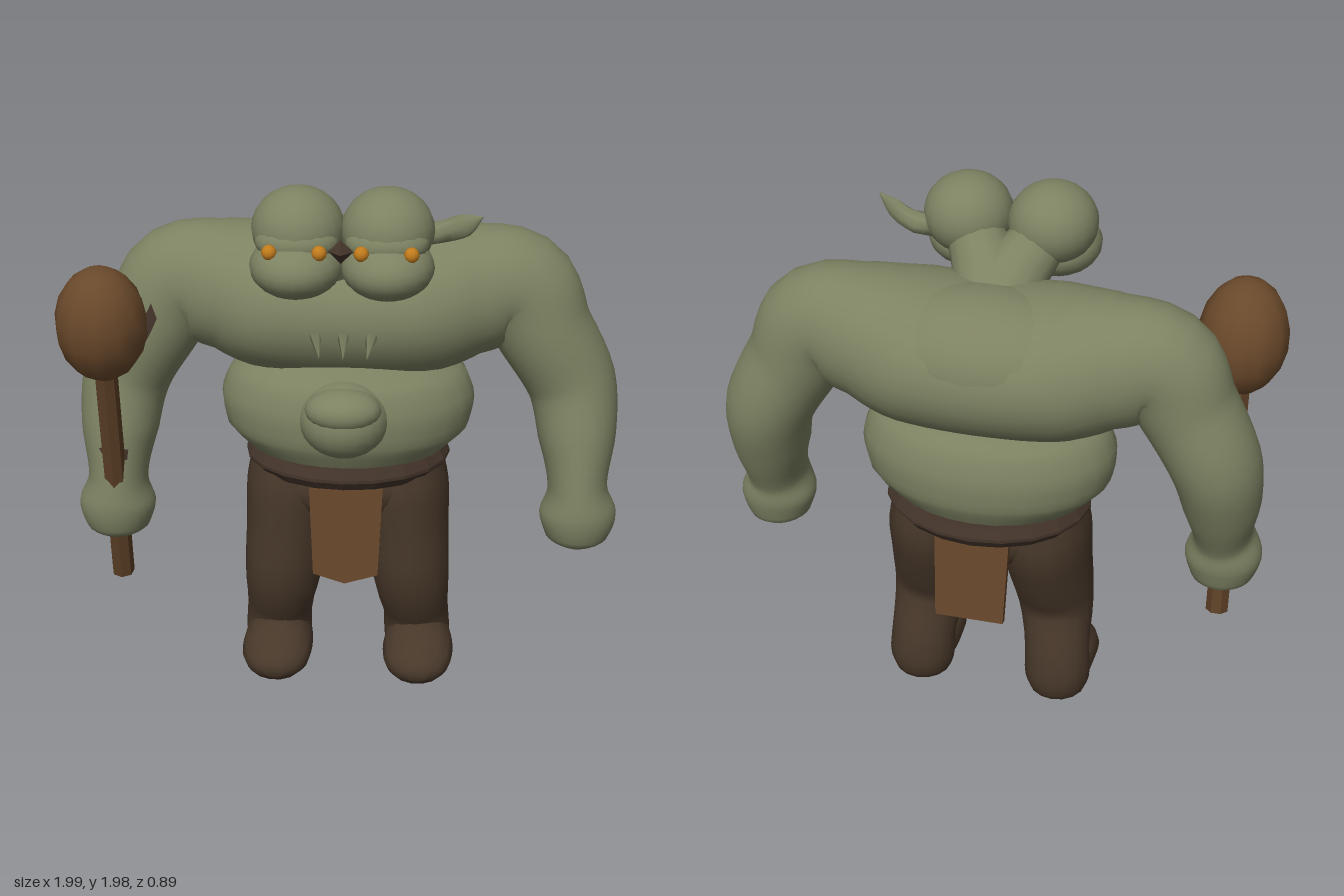
import * as THREE from 'three';

const mat = (name, color, opts = {}) => {
  const m = new THREE.MeshStandardMaterial({ color, ...opts });
  m.name = name;
  return m;
};

// Smooth closed skin through stations [x, y, z, radiusU, radiusV]; u follows ref
function loft(stations, ref, sides = 18, steps = 3) {
  const path = new THREE.CatmullRomCurve3(stations.map(s => new THREE.Vector3(s[0], s[1], s[2])));
  const radii = new THREE.CatmullRomCurve3(stations.map(s => new THREE.Vector3(s[3], s[4], 0)));
  const n = (stations.length - 1) * steps;
  const pos = [], index = [];
  const up = new THREE.Vector3(...ref);
  for (let i = 0; i <= n; i++) {
    const p = path.getPoint(i / n), r = radii.getPoint(i / n);
    const t = path.getTangent(i / n);
    const u = up.clone().addScaledVector(t, -up.dot(t)).normalize();
    const v = t.clone().cross(u);
    for (let j = 0; j < sides; j++) {
      const a = j / sides * Math.PI * 2;
      const q = p.clone().addScaledVector(u, Math.max(r.x, 0.002) * Math.cos(a))
        .addScaledVector(v, Math.max(r.y, 0.002) * Math.sin(a));
      pos.push(q.x, q.y, q.z);
      if (i < n) {
        const A = i * sides + j, B = i * sides + (j + 1) % sides;
        index.push(A, B, A + sides, B, B + sides, A + sides);
      }
    }
  }
  // End caps
  const c0 = pos.length / 3, last = n * sides;
  const first = stations[0], end = stations[stations.length - 1];
  pos.push(first[0], first[1], first[2], end[0], end[1], end[2]);
  for (let j = 0; j < sides; j++) {
    const k = (j + 1) % sides;
    index.push(c0, k, j, c0 + 1, last + j, last + k);
  }
  const g = new THREE.BufferGeometry();
  g.setAttribute('position', new THREE.Float32BufferAttribute(pos, 3));
  g.setIndex(index);
  g.computeVertexNormals();
  return g;
}

// Second material group for faces near any of the spots [x, y, z, radius]
function paintSpots(g, spots) {
  const index = g.index.array, plain = [], painted = [];
  const c = new THREE.Vector3(), v = new THREE.Vector3();
  for (let i = 0; i < index.length; i += 3) {
    c.set(0, 0, 0);
    for (let k = 0; k < 3; k++) c.add(v.fromBufferAttribute(g.attributes.position, index[i + k]));
    c.divideScalar(3);
    const hit = spots.some(([x, y, z, r]) => c.distanceTo(v.set(x, y, z)) < r);
    (hit ? painted : plain).push(index[i], index[i + 1], index[i + 2]);
  }
  g.setIndex([...plain, ...painted]);
  g.addGroup(0, plain.length, 0);
  g.addGroup(plain.length, painted.length, 1);
  return g;
}

const flipX = (list, s) => list.map(([x, ...rest]) => [x * s, ...rest]);

export function createModel() {
  const root = new THREE.Group();
  const skin = mat('skin', 0x7d8262);
  const trousers = mat('trousers', 0x48382a);
  const leather = mat('belt leather', 0x43342a, { side: THREE.DoubleSide });
  const cloth = mat('loincloth', 0x65452a);
  const wood = mat('club wood', 0x6a492b);
  const shaftWood = mat('club shaft wood', 0x5c4026, { flatShading: true });
  const amber = mat('amber eye', 0xc27c1c);

  const add = (name, geo, material, p = [0, 0, 0], parent = root) => {
    const m = new THREE.Mesh(geo, material);
    m.name = name;
    m.position.set(...p);
    parent.add(m);
    return m;
  };
  const ball = (name, p, r, material = skin, w = 20, h = 14) =>
    add(name, new THREE.SphereGeometry(1, w, h).scale(...r), material, p);

  // Chest and both arms as one skin running from hand to hand
  const half = [
    [0.26, 1.485, -0.115, 0.312, 0.264],
    [0.45, 1.52, -0.12, 0.24, 0.236],
    [0.61, 1.525, -0.12, 0.185, 0.205],
    [0.705, 1.37, -0.115, 0.18, 0.175],
    [0.81, 1.17, -0.12, 0.177, 0.162],
    [0.838, 0.98, -0.065, 0.168, 0.142],
    [0.845, 0.8, -0.01, 0.145, 0.108],
    [0.85, 0.7, 0, 0.146, 0.14],
    [0.85, 0.61, 0, 0.123, 0.115],
    [0.85, 0.56, 0, 0.04, 0.04],
  ];
  const upper = loft([
    ...flipX(half, -1).reverse(), [0, 1.475, -0.12, 0.325, 0.265], ...half,
  ], [0, 0, 1], 28, 5);
  add('chestAndArms', paintSpots(upper, [[-0.75, 1.43, 0.06, 0.075], [-0.835, 0.93, 0.1, 0.045]]),
    [skin, leather]);
  ball('upperBack', [0, 1.515, -0.17], [0.45, 0.238, 0.268], skin, 28, 16);

  // Belly roll and the bulge on its front
  add('belly', loft([
    [0, 0.88, -0.1, 0.31, 0.24],
    [0, 0.94, -0.1, 0.375, 0.275],
    [0, 1.01, -0.1, 0.443, 0.308],
    [0, 1.11, -0.1, 0.461, 0.315],
    [0, 1.21, -0.1, 0.43, 0.289],
    [0, 1.27, -0.1, 0.355, 0.245],
    [0, 1.35, -0.1, 0.25, 0.19],
  ], [1, 0, 0], 28), skin);
  ball('bellyBulge', [0, 1.12, 0.16], [0.16, 0.14, 0.15]);
  ball('bellyFold', [0, 1.18, 0.22], [0.135, 0.075, 0.098]);

  // Three small chest spikes pointing down
  for (const x of [-0.09, 0, 0.09]) {
    const spike = add('chestSpike', new THREE.ConeGeometry(0.024, 0.09, 5), skin, [x, 1.415, 0.217]);
    spike.rotation.set(Math.PI - 0.5, 0, x * 2);
  }

  // Two necks and two heads
  for (const s of [1, -1]) {
    add('neck', loft(flipX([
      [0, 1.57, -0.07, 0.18, 0.16],
      [0.03, 1.68, 0.025, 0.135, 0.125],
      [0.08, 1.75, 0.105, 0.112, 0.11],
      [0.14, 1.81, 0.2, 0.1, 0.1],
    ], s), [1, 0, 0], 14), skin);
    ball('cranium', [0.152 * s, 1.845, 0.21], [0.159, 0.145, 0.162]);
    ball('muzzle', [0.155 * s, 1.735, 0.275], [0.158, 0.108, 0.17]);
    ball('brow', [0.152 * s, 1.822, 0.28], [0.142, 0.075, 0.1]);
    for (const x of [0.07, 0.237])
      ball('eye', [x * s, 1.813, 0.374], [0.026, 0.026, 0.026], amber, 10, 8);
  }
  add('gapPatch', new THREE.OctahedronGeometry(0.042), leather, [0, 1.808, 0.34]);

  // Single pointed ear on the left head
  add('ear', loft([
    [0.26, 1.805, 0.145, 0.04, 0.03],
    [0.35, 1.823, 0.145, 0.04, 0.03],
    [0.41, 1.85, 0.165, 0.04, 0.02],
    [0.47, 1.888, 0.19, 0.003, 0.003],
  ], [0, 1, 0], 8), skin);

  // Trousers: hips, legs and feet
  ball('hips', [0, 0.8, -0.09], [0.35, 0.18, 0.235], trousers);
  for (const s of [1, -1]) {
    const footX = s > 0 ? 0.272 : 0.26;
    add('leg', loft(flipX([
      [0.19, 0.88, -0.1, 0.16, 0.205],
      [0.204, 0.76, -0.092, 0.171, 0.215],
      [0.22, 0.6, -0.067, 0.158, 0.186],
      [0.241, 0.4, -0.035, 0.142, 0.14],
      [0.26, 0.22, -0.097, 0.123, 0.119],
      [0.265, 0.12, -0.107, 0.125, 0.121],
      [0.265, 0.045, -0.103, 0.108, 0.103],
      [0.265, 0.016, -0.1, 0.055, 0.055],
    ], s), [1, 0, 0], 16), trousers);
    add('foot', loft(flipX([
      [footX, 0.11, -0.2, 0.06, 0.05],
      [footX, 0.11, -0.12, 0.12, 0.099],
      [footX, 0.115, 0, 0.132, 0.11],
      [footX, 0.102, 0.1, 0.125, 0.084],
      [footX, 0.097, 0.165, 0.092, 0.06],
      [footX, 0.095, 0.2, 0.035, 0.025],
    ], s), [1, 0, 0], 14), trousers);
  }

  // Belt with a ridged edge
  const rim = [[0.86, 0.838], [0.92, 0.845], [1, 0.88], [1, 0.892], [0.945, 0.928], [0.85, 0.928]]
    .map(([x, y]) => new THREE.Vector2(x, y));
  const belt = new THREE.LatheGeometry(rim, 20).toNonIndexed();
  belt.scale(0.375, 1, 0.306);
  belt.computeVertexNormals();
  add('belt', belt, leather, [0, 0, -0.105]);

  // Front and back loincloth flaps hanging from the belt
  const flap = (name, outline, p, tilt) => {
    const shape = new THREE.Shape(outline.map(([x, y]) => new THREE.Vector2(x, y)));
    const g = new THREE.ExtrudeGeometry(shape, { depth: 0.028, bevelEnabled: false });
    g.translate(0, 0, -0.014);
    add(name, g, cloth, p).rotation.x = tilt;
  };
  flap('frontFlap', [[-0.125, 0], [-0.11, -0.325], [0.005, -0.36], [0.125, -0.325], [0.14, 0]],
    [0, 0.845, 0.163], -0.12);
  flap('backFlap', [[-0.135, 0], [-0.125, -0.315], [0.125, -0.315], [0.135, 0]],
    [0, 0.845, -0.355], 0.14);

  // Club held in the right hand, leaning forward
  const club = new THREE.Group();
  club.name = 'club';
  club.position.set(-0.84, 0.41, 0.02);
  club.rotation.x = 0.178;
  root.add(club);
  add('clubShaft', new THREE.CylinderGeometry(0.042, 0.042, 0.95, 7), shaftWood, [0, 0.475, 0], club);
  add('clubHead', new THREE.SphereGeometry(1, 12, 9).scale(0.162, 0.215, 0.162), wood, [0, 1.09, 0], club);

  return root;
}
